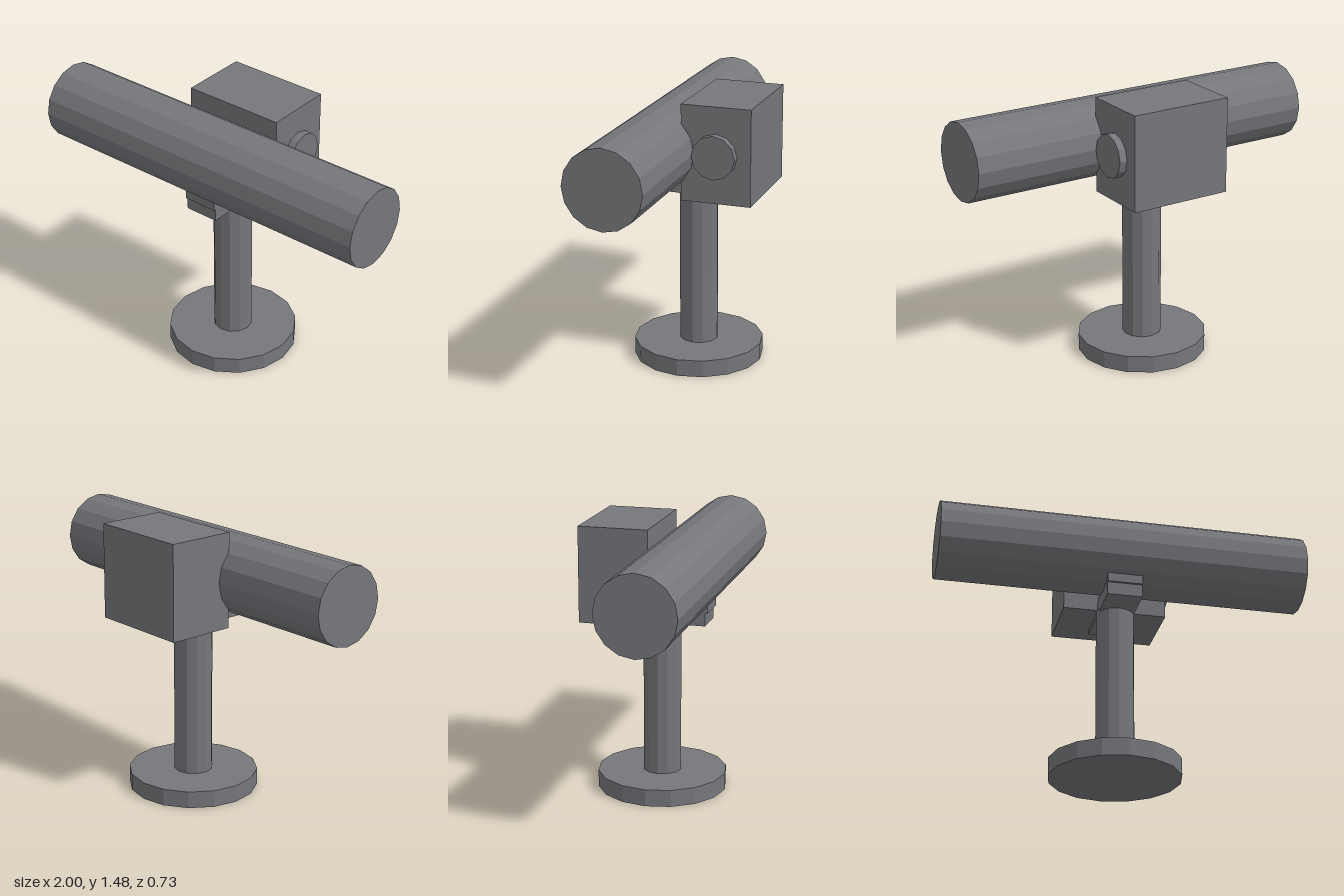
import * as THREE from 'three';

export function createModel() {
  const group = new THREE.Group();
  const material = new THREE.MeshStandardMaterial({ color: 0x75777b, flatShading: true });

  const add = (name, geometry) => {
    const mesh = new THREE.Mesh(geometry, material);
    mesh.name = name;
    group.add(mesh);
    return mesh;
  };

  // Box given by half width in x and its y and z ranges
  const box = (name, halfX, y0, y1, z0, z1) =>
    add(name, new THREE.BoxGeometry(halfX * 2, y1 - y0, z1 - z0))
      .position.set(0, (y0 + y1) / 2, (z0 + z1) / 2);

  // Upright cylinder between two heights
  const post = (name, radius, y0, y1, sides) =>
    add(name, new THREE.CylinderGeometry(radius, radius, y1 - y0, sides))
      .position.set(0, (y0 + y1) / 2, 0.012);

  // Cylinder lying along x
  const barrel = (name, radius, x0, x1, y, z, sides) => {
    const geometry = new THREE.CylinderGeometry(radius, radius, x1 - x0, sides).rotateZ(Math.PI / 2);
    add(name, geometry).position.set((x0 + x1) / 2, y, z);
  };

  // Stand
  post('baseDisc', 0.353, 0, 0.093, 16);
  post('pole', 0.105, 0.093, 0.965, 12);

  // Mounting bracket with a small front lip under the tube
  box('bracketPlate', 0.095, 0.942, 1.034, -0.245, 0.27);
  box('bracketLip', 0.095, 1.012, 1.1, 0.18, 0.283);

  // Main tube, rear housing and side knob
  barrel('mainTube', 0.211, -1, 1, 1.223, 0.153, 16);
  box('rearHousing', 0.283, 0.967, 1.482, -0.365, 0.011);
  barrel('sideKnob', 0.117, 0.24, 0.325, 1.223, -0.175, 12);

  return group;
}
